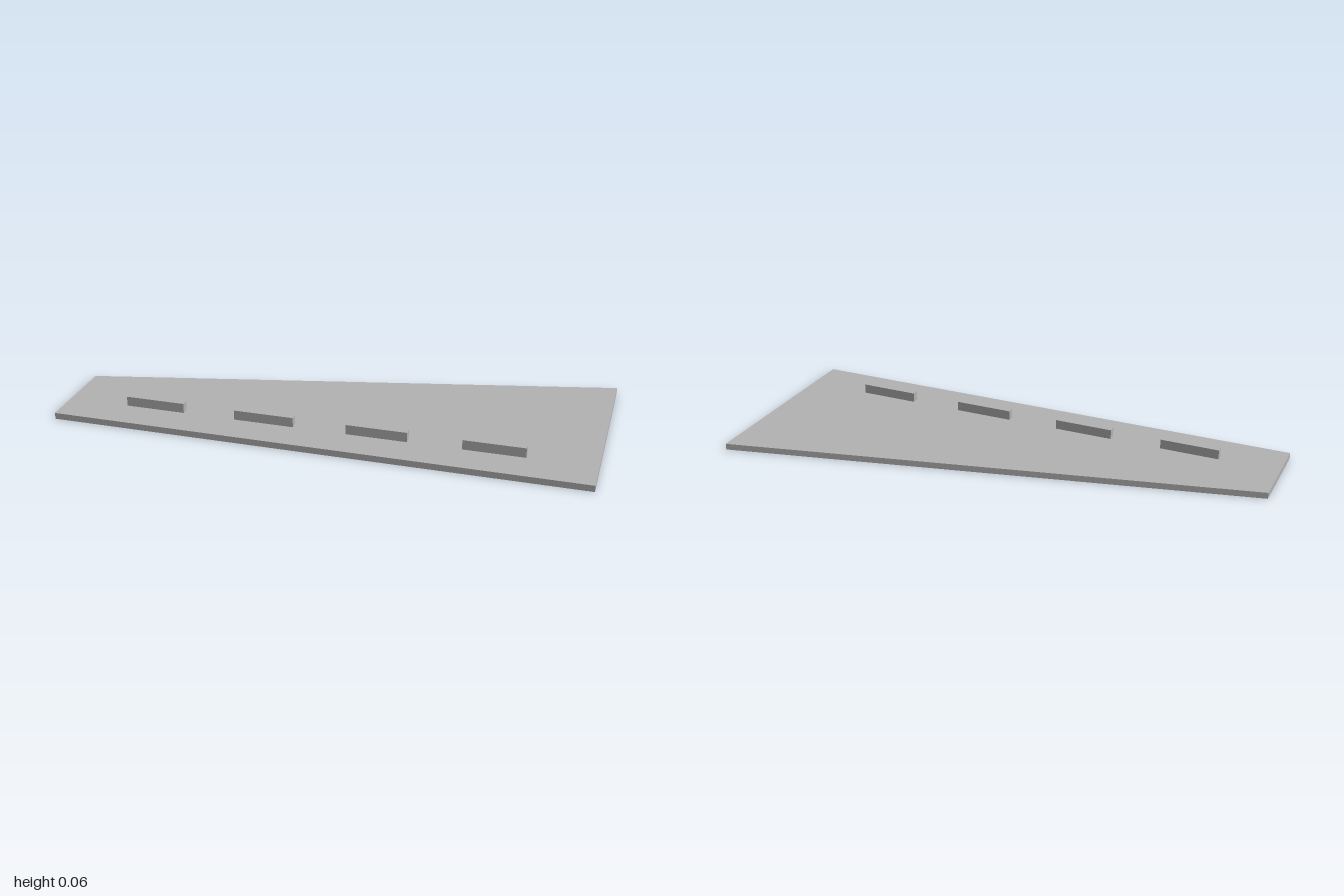
import * as THREE from 'three';

const THICKNESS = 0.024;

export function createModel() {
  const model = new THREE.Group();
  model.name = 'taperedPlate';
  const grey = new THREE.MeshStandardMaterial({ color: 0xb2b2b2 });
  grey.name = 'plain grey';

  // Flat plate with a straight front edge and a slanted back edge (drawn as x, -z)
  const outline = new THREE.Shape([
    new THREE.Vector2(-1, -0.4),
    new THREE.Vector2(1, -0.4),
    new THREE.Vector2(1, 0.4),
    new THREE.Vector2(-1, -0.055),
  ]);
  const plateGeometry = new THREE.ExtrudeGeometry(outline, { depth: THICKNESS, bevelEnabled: false });
  plateGeometry.rotateX(-Math.PI / 2);
  const plate = new THREE.Mesh(plateGeometry, grey);
  plate.name = 'basePlate';
  model.add(plate);

  // Row of four evenly spaced tabs standing on the plate
  const tabHeight = 0.037;
  const tabGeometry = new THREE.BoxGeometry(0.228, tabHeight, 0.028);
  for (let i = 0; i < 4; i++) {
    const tab = new THREE.Mesh(tabGeometry, grey);
    tab.name = `tab${i + 1}`;
    tab.position.set(-0.651 + i * 0.428, THICKNESS + tabHeight / 2, 0.253);
    model.add(tab);
  }

  return model;
}
